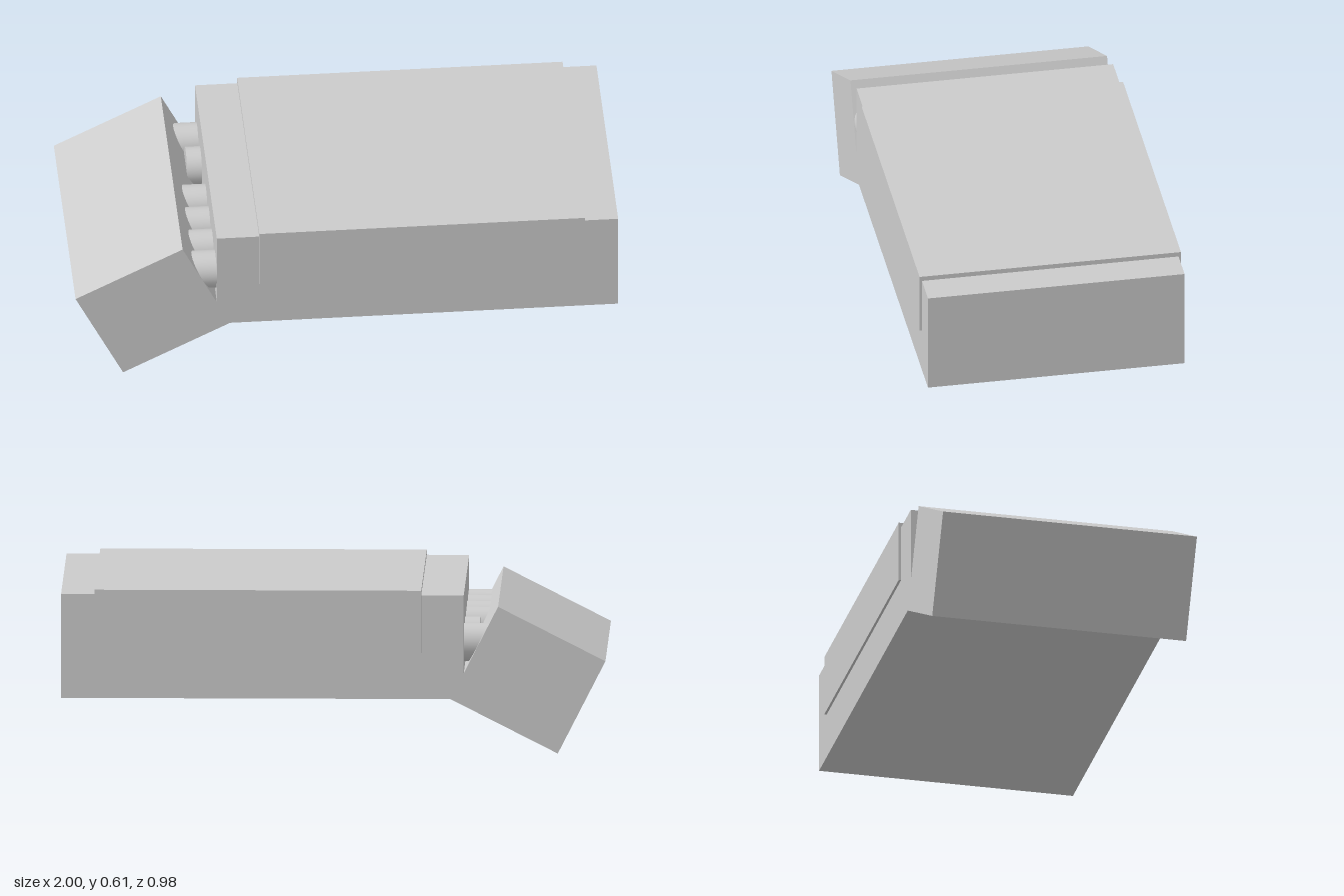
import * as THREE from 'three';

const material = new THREE.MeshStandardMaterial({ color: 0xcccccc });

function box(name, x0, x1, y0, y1, halfDepth) {
  const mesh = new THREE.Mesh(new THREE.BoxGeometry(x1 - x0, y1 - y0, halfDepth * 2), material);
  mesh.name = name;
  mesh.position.set((x0 + x1) / 2, (y0 + y1) / 2, 0);
  return mesh;
}

export function createModel() {
  const model = new THREE.Group();
  model.name = 'openPack';

  // Carton lying on its back, with a sleeve wrapped over the top and sides
  model.add(box('cartonBody', -0.48, 1, 0.201, 0.587, 0.479));
  model.add(box('sleeve', -0.324, 0.876, 0.373, 0.605, 0.488));

  // Flip lid, swung open about the lower edge
  const hinge = new THREE.Group();
  hinge.name = 'lidHinge';
  hinge.position.set(-0.431, 0.201, 0);
  hinge.rotation.z = THREE.MathUtils.degToRad(27);
  hinge.add(box('lid', -0.443, 0, 0, 0.386, 0.479));
  model.add(hinge);

  // Row of sticks bridging the opening; one is missing, one is shorter
  const sticks = [
    [-0.388, -0.6], [-0.238, -0.535], [-0.003, -0.6],
    [0.136, -0.6], [0.277, -0.6], [0.408, -0.6],
  ];
  const innerEnd = -0.4;
  for (const [z, tip] of sticks) {
    const geometry = new THREE.CylinderGeometry(0.07, 0.07, innerEnd - tip, 32);
    geometry.rotateZ(Math.PI / 2);
    const stick = new THREE.Mesh(geometry, material);
    stick.name = 'stick';
    stick.position.set((tip + innerEnd) / 2, 0.4, z);
    model.add(stick);
  }

  return model;
}
